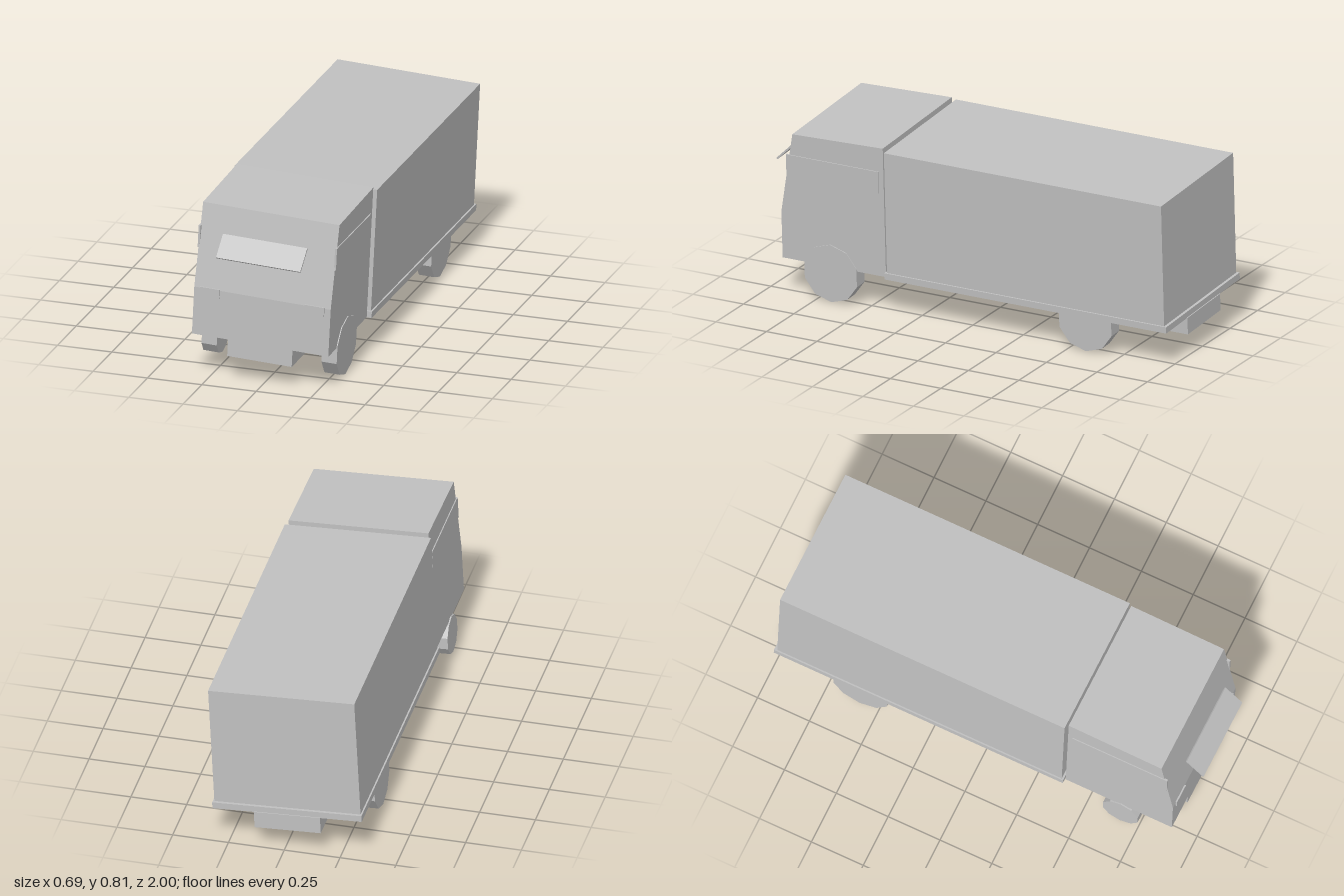
import * as THREE from 'three';

export function createModel() {
  const model = new THREE.Group();
  model.name = 'truck';
  const paint = new THREE.MeshStandardMaterial({ color: 0xc0c0c0 });
  paint.name = 'plain grey';
  paint.flatShading = true;

  // The whole truck leans slightly to one side.
  const body = new THREE.Group();
  body.name = 'leaningBody';
  body.rotation.z = -0.05;
  body.position.set(-0.0205, 0.001, 0);
  model.add(body);

  const add = (name, geometry) => {
    const mesh = new THREE.Mesh(geometry, paint);
    mesh.name = name;
    body.add(mesh);
    return mesh;
  };
  // Box given by its width and its y and z ranges, centred on x.
  const box = (name, width, y0, y1, z0, z1, x = 0) => {
    const mesh = add(name, new THREE.BoxGeometry(width, y1 - y0, z1 - z0));
    mesh.position.set(x, (y0 + y1) / 2, (z0 + z1) / 2);
    return mesh;
  };

  // Chassis and cargo body
  box('chassis', 0.297, 0.1, 0.178, -1, 0.912);
  box('cargoFloor', 0.67, 0.1755, 0.205, -0.996, 0.398);
  box('cargoBox', 0.656, 0.2, 0.7715, -0.983, 0.389);

  // Cab: side profile extruded across the width
  const profile = new THREE.Shape();
  [[0.402, 0.1775], [0.914, 0.1775], [0.914, 0.397], [0.85, 0.771], [0.402, 0.785]]
    .forEach(([z, y], i) => (i ? profile.lineTo(-z, y) : profile.moveTo(-z, y)));
  profile.closePath();
  const cab = new THREE.ExtrudeGeometry(profile, { depth: 0.628, bevelEnabled: false });
  cab.translate(0, 0, -0.314);
  cab.rotateY(Math.PI / 2);
  add('cab', cab);

  // Windscreen plate hinged outwards
  const screen = add('windscreen', new THREE.BoxGeometry(0.388, 0.116, 0.008));
  screen.position.set(0, 0.623, 0.956);
  screen.rotation.x = -0.79;

  for (const side of [-1, 1]) {
    const label = side > 0 ? 'left' : 'right';
    box(label + 'SideWindow', 0.009, 0.57, 0.672, 0.425, 0.882, side * 0.314);
    box(label + 'Headlight', 0.09, 0.362, 0.403, 0.9, 0.92, side * 0.2405);
  }

  // Ten-sided wheels standing on a flat; one front wheel is smaller
  const wheel = (name, x, z, radius) => {
    const geometry = new THREE.CylinderGeometry(radius, radius, 0.07, 10);
    geometry.rotateY(Math.PI / 2);
    geometry.rotateZ(Math.PI / 2);
    const mesh = add(name, geometry);
    mesh.position.set(x, 0.0169 + radius * Math.cos(Math.PI / 10), z);
  };
  wheel('leftFrontWheel', 0.283, 0.675, 0.1355);
  wheel('rightFrontWheel', -0.285, 0.67, 0.088);
  wheel('leftRearWheel', 0.283, -0.585, 0.1355);
  wheel('rightRearWheel', -0.285, -0.585, 0.1355);

  return model;
}
